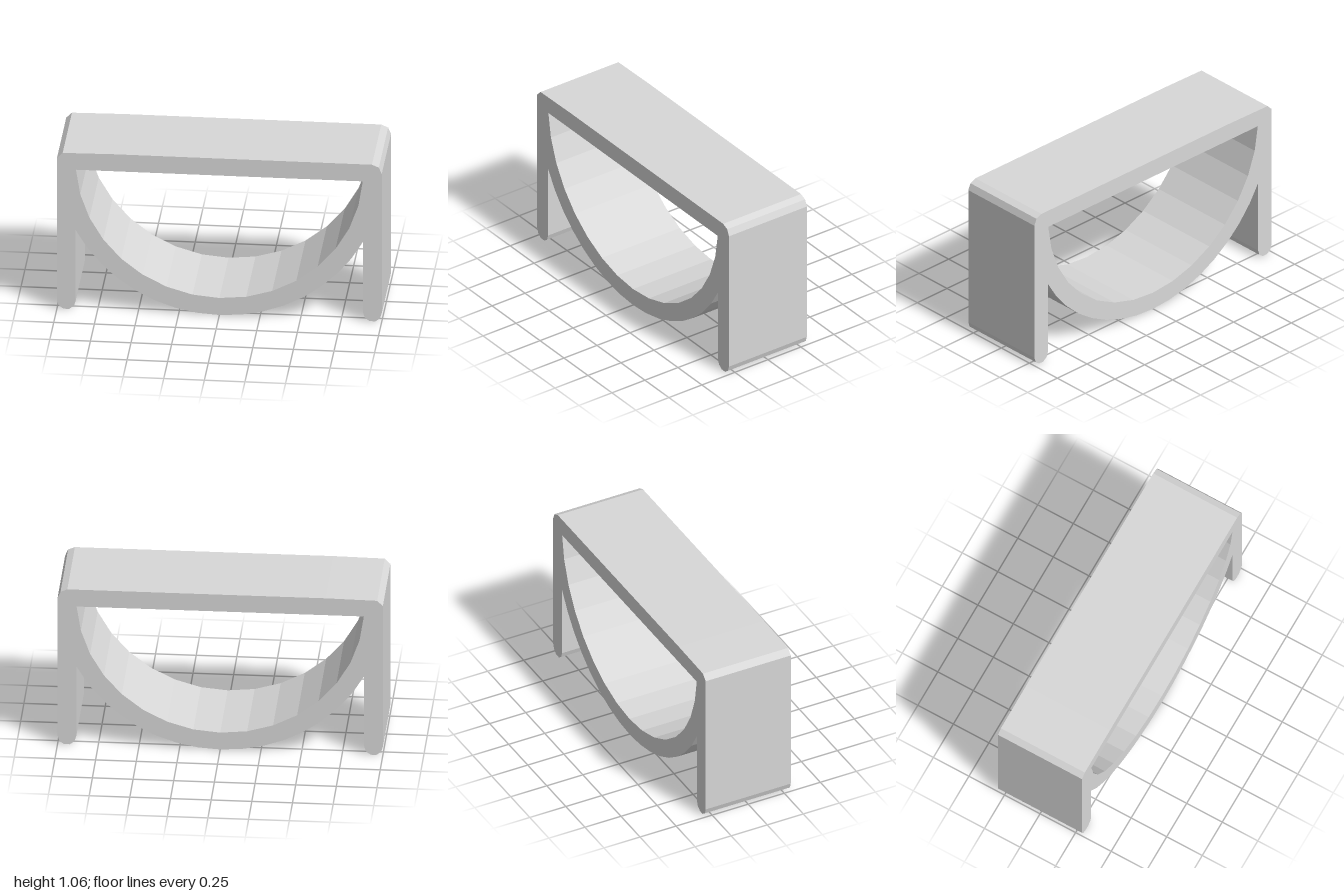
import * as THREE from 'three';

const DEPTH = 0.59;
const CENTRE_Y = 1.003;   // centre of the hanging arch
const INNER = 0.885;      // inner radius of the arch and inner side of the legs
const ARC_STEPS = 16;

// Points on a hanging arc, running from +halfAngle (right in x) to -halfAngle
function hangingArc(radius, halfAngle) {
  const points = [];
  for (let i = 0; i <= ARC_STEPS; i++) {
    const a = halfAngle * (1 - (2 * i) / ARC_STEPS);
    points.push(new THREE.Vector2(radius * Math.sin(a), CENTRE_Y - radius * Math.cos(a)));
  }
  return points;
}

// Rounded foot of the +x leg, from its outer side to its inner side
function legFoot() {
  const r = (1 - INNER) / 2;
  const points = [];
  for (let i = 0; i <= 5; i++) {
    const a = (Math.PI * i) / 5;
    points.push(new THREE.Vector2(1 - r + r * Math.cos(a), 0.06 - 0.06 * Math.sin(a)));
  }
  return points;
}

export function createModel() {
  const grey = new THREE.MeshStandardMaterial({ color: 0xd8d8d8 });
  grey.name = 'lightGrey';

  const foot = legFoot();
  const mirroredFoot = foot.map((p) => new THREE.Vector2(-p.x, p.y)).reverse();

  // Outline, clockwise: top bar, leg, underside of the arch, other leg
  const profile = new THREE.Shape([
    new THREE.Vector2(-0.65, 1.06),
    new THREE.Vector2(0.94, 1.06),
    new THREE.Vector2(0.982, 1.042),
    new THREE.Vector2(1, 1.0),
    ...foot,
    ...hangingArc(1, Math.asin(INNER)),
    ...mirroredFoot,
    new THREE.Vector2(-1, 1.02),
    new THREE.Vector2(-0.965, 1.055),
  ]);

  // Half-round opening between the bar and the arch, counter-clockwise
  const opening = hangingArc(INNER, Math.acos(0.058 / INNER)).reverse();
  profile.holes.push(new THREE.Path(opening));

  const geometry = new THREE.ExtrudeGeometry(profile, { depth: DEPTH, bevelEnabled: false });
  geometry.translate(0, 0, -DEPTH / 2);

  const bracket = new THREE.Mesh(geometry, grey);
  bracket.name = 'archedBracket';

  const model = new THREE.Group();
  model.name = 'bracket';
  model.add(bracket);
  return model;
}
